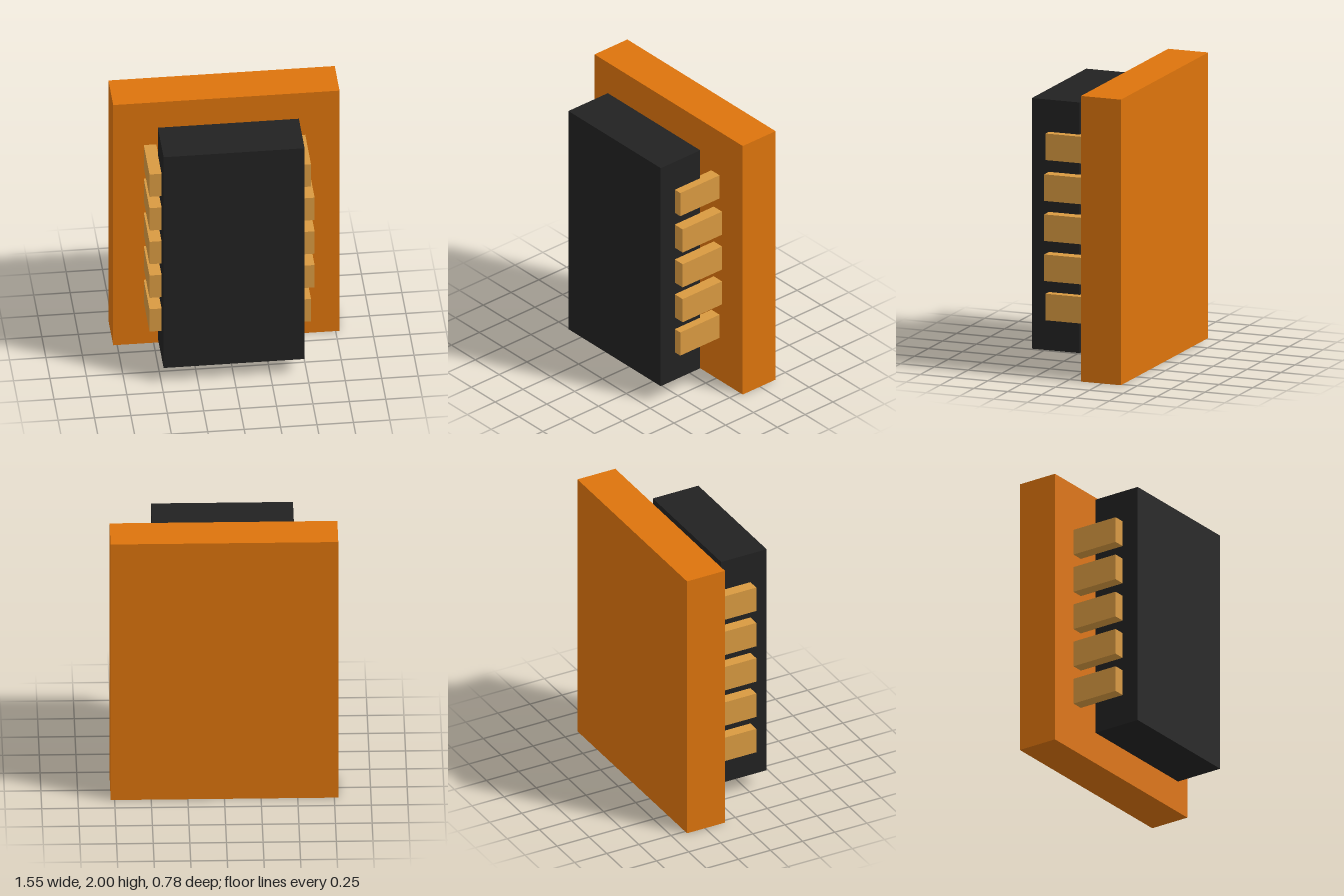
import * as THREE from 'three';

export function createModel() {
  const model = new THREE.Group();
  const plateMat = new THREE.MeshStandardMaterial({ color: 0xdd740c });
  const bodyMat = new THREE.MeshStandardMaterial({ color: 0x222222 });
  const pinMat = new THREE.MeshStandardMaterial({ color: 0xd99a41 });

  // Box from its minimum and maximum corners
  function box(name, material, min, max) {
    const size = max.map((v, i) => v - min[i]);
    const mesh = new THREE.Mesh(new THREE.BoxGeometry(...size), material);
    mesh.position.set(...min.map((v, i) => (v + max[i]) / 2));
    mesh.name = name;
    model.add(mesh);
  }

  // Backing plate and chip body
  box('backPlate', plateMat, [-0.777, 0, -0.39], [0.777, 2, -0.095]);
  box('chipBody', bodyMat, [-0.485, 0.125, 0.036], [0.483, 1.88, 0.39]);

  // Five contact pins per side; the end pins on the left sit slightly inward
  const pinWidth = 0.086;
  for (let i = 0; i < 5; i++) {
    const y = 0.44 + i * 0.2805;
    const leftOuter = i === 0 || i === 4 ? 0.541 : 0.566;
    for (const [name, x] of [['rightPin', -0.568], ['leftPin', leftOuter - pinWidth]]) {
      box(name + (i + 1), pinMat, [x, y - 0.093, -0.089], [x + pinWidth, y + 0.093, 0.264]);
    }
  }
  return model;
}
